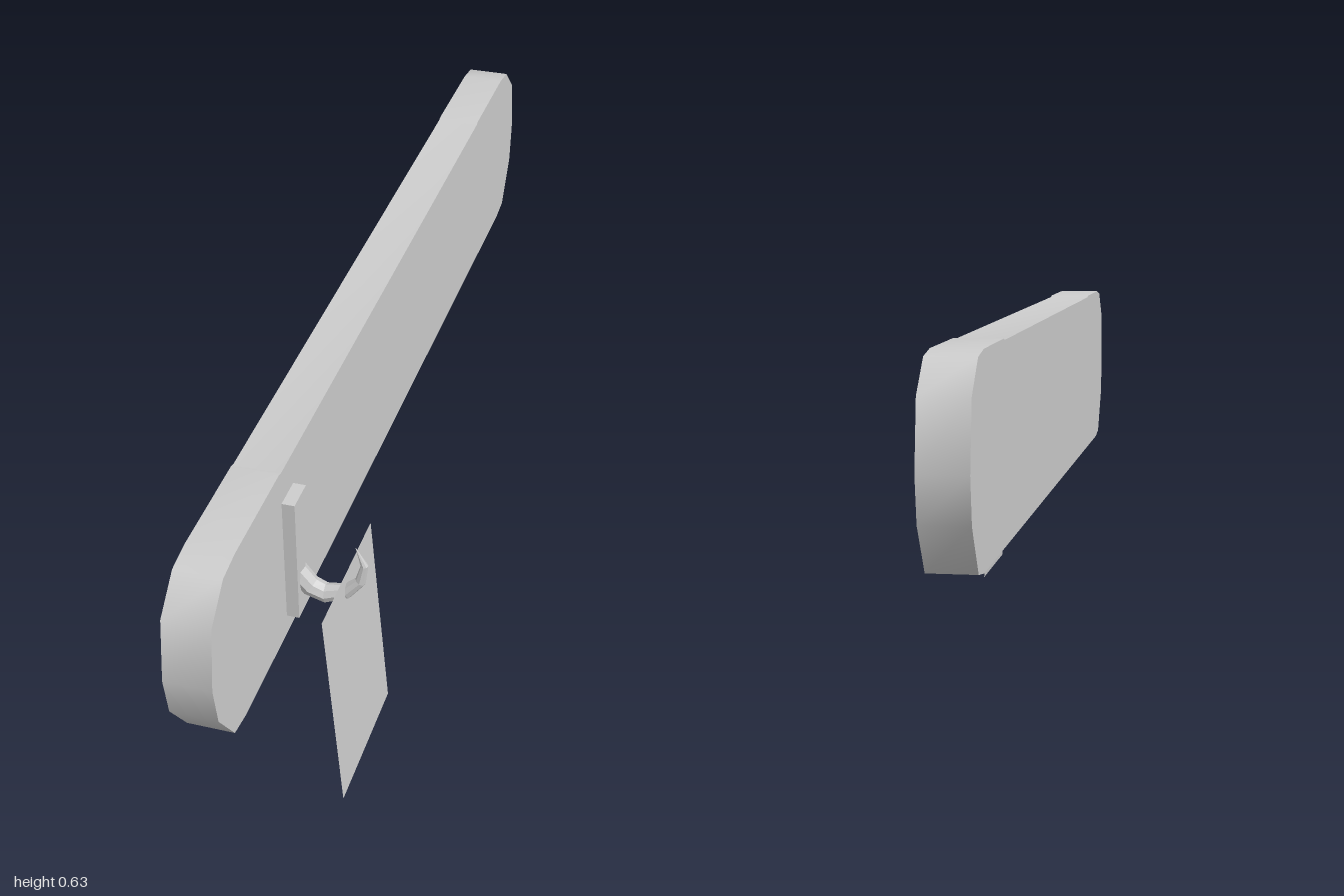
import * as THREE from 'three';
import { toCreasedNormals } from 'three/addons/utils/BufferGeometryUtils.js';

const grey = new THREE.MeshStandardMaterial({ color: 0xcccccc, side: THREE.DoubleSide });
grey.name = 'lightGrey';

function addPart(group, name, geometry) {
  const mesh = new THREE.Mesh(geometry, grey);
  mesh.name = name;
  group.add(mesh);
  return mesh;
}

// Long board with rounded ends, extruded across x
function boardGeometry() {
  const end = [
    [0.65, 0.632], [0.66, 0.635], [0.87, 0.635], [0.925, 0.627], [0.985, 0.572], [1.0, 0.455],
    [0.985, 0.375], [0.922, 0.289], [0.87, 0.281],
  ];
  const mirrored = end.map(([z, y]) => [-z, y]).reverse();
  const shape = new THREE.Shape([...end, ...mirrored].map(([z, y]) => new THREE.Vector2(z, y)));
  const g = new THREE.ExtrudeGeometry(shape, { depth: 0.085, bevelEnabled: false });
  g.rotateY(Math.PI / 2).translate(-0.115, 0, 0);
  return toCreasedNormals(g, 1.0);
}

// Faceted, tapering tube along stations of [x, y, radius] at a fixed z
function hookGeometry(stations, z, sides = 8) {
  const pos = [], index = [];
  stations.forEach(([x, y, r], i) => {
    const a = stations[Math.max(i - 1, 0)];
    const b = stations[Math.min(i + 1, stations.length - 1)];
    const t = new THREE.Vector2(b[0] - a[0], b[1] - a[1]).normalize();
    for (let j = 0; j < sides; j++) {
      const ang = (j / sides) * Math.PI * 2;
      const n = r * Math.cos(ang);
      pos.push(x - t.y * n, y + t.x * n, z + r * Math.sin(ang));
      if (i < stations.length - 1) {
        const p = i * sides + j, q = i * sides + ((j + 1) % sides);
        index.push(p, q, p + sides, q, q + sides, p + sides);
      }
    }
  });
  const g = new THREE.BufferGeometry();
  g.setAttribute('position', new THREE.Float32BufferAttribute(pos, 3));
  g.setIndex(index);
  const flat = g.toNonIndexed();
  flat.computeVertexNormals();
  return flat;
}

export function createModel() {
  const group = new THREE.Group();
  group.name = 'wallHook';

  addPart(group, 'board', boardGeometry());

  // Narrow upright plate that carries the hook
  addPart(group, 'mountPlate', new THREE.BoxGeometry(0.023, 0.25, 0.06))
    .position.set(-0.0185, 0.445, 0.625);

  addPart(group, 'hook', hookGeometry([
    [-0.018, 0.402, 0.02], [0.006, 0.374, 0.019], [0.034, 0.364, 0.018], [0.0725, 0.377, 0.0135],
    [0.0975, 0.405, 0.01], [0.105, 0.441, 0.007], [0.09, 0.477, 0.0004],
  ], 0.625));

  // Thin hanging sheet, leaning out towards its foot
  const sheet = addPart(group, 'hangingSheet',
    new THREE.PlaneGeometry(0.28, 0.414).rotateY(Math.PI / 2));
  sheet.rotation.z = 0.0725;
  sheet.position.set(0.085, 0.2065, 0.616);

  return group;
}
